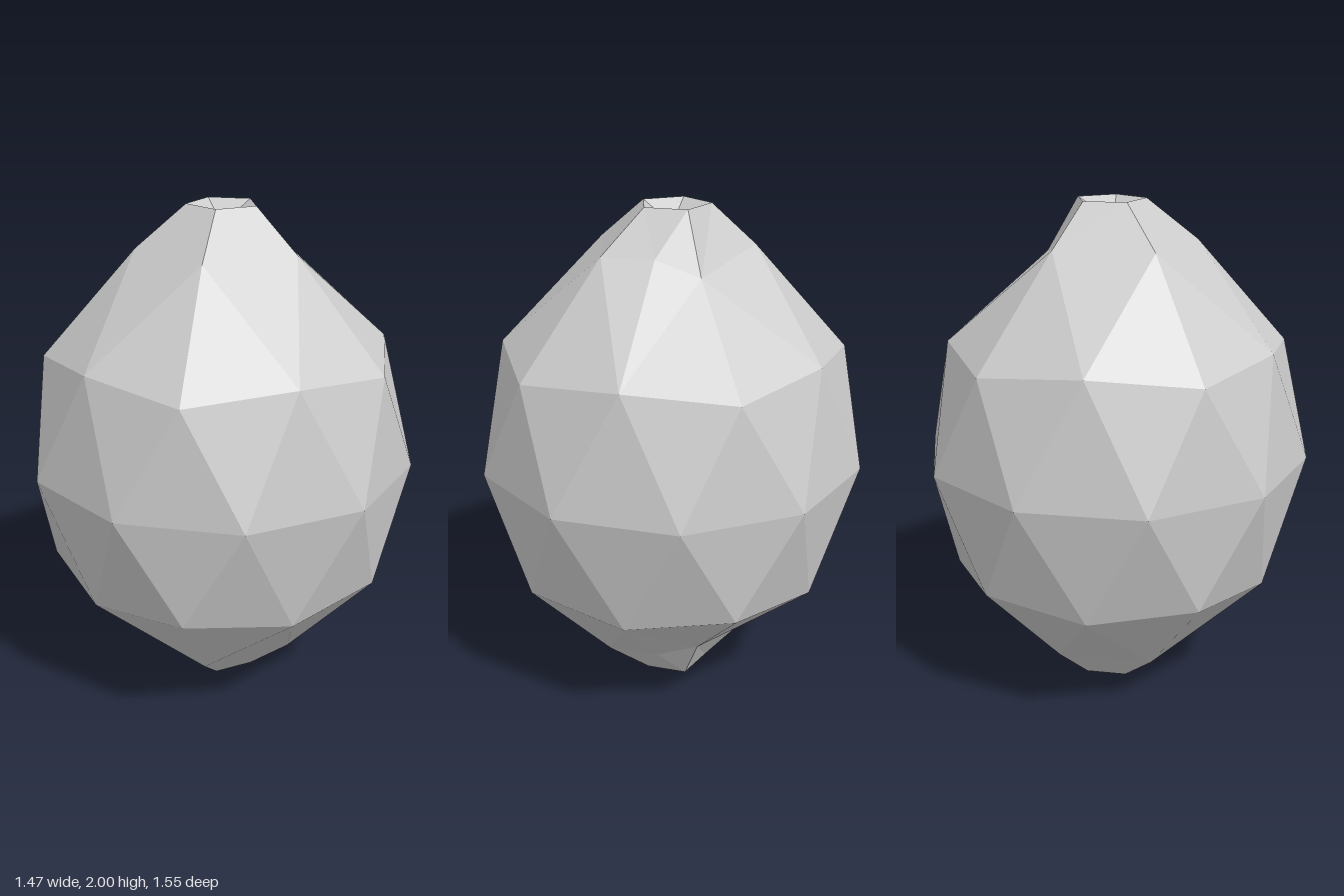
import * as THREE from 'three';

// Point on a ring round the y axis, angle in degrees from +x towards +z
const polar = (r, deg, y, z = 0) => {
  const a = THREE.MathUtils.degToRad(deg);
  return new THREE.Vector3(r * Math.cos(a), y, r * Math.sin(a) + z);
};
const ring = (n, fn) => Array.from({ length: n }, (_, i) => fn(i));

// Flat-faceted geometry from triangles; lower = mirrored below y = 1
function facets(tris, lower) {
  const pos = [];
  for (const [a, b, c] of tris) {
    for (const p of lower ? [a, c, b] : [a, b, c]) pos.push(p.x, lower ? 2 - p.y : p.y, p.z);
  }
  const g = new THREE.BufferGeometry();
  g.setAttribute('position', new THREE.Float32BufferAttribute(pos, 3));
  g.computeVertexNormals();
  return g;
}

export function createModel() {
  const group = new THREE.Group();
  group.name = 'lemon';
  const skin = new THREE.MeshStandardMaterial({ color: 0xcccccc });
  skin.name = 'grey skin';

  // Rings from the widest line up to the blunt tip
  const equator = ring(10, (i) => polar(0.773, 36 * i + 18, 1));
  const belt = ring(10, (i) => (i % 2 ? polar(0.658, 36 * i, 1.47) : polar(0.692, 36 * i, 1.43)));
  const neck = ring(5, (i) => polar(0.325, 72 * i, 1.84));
  neck[4].set(0.09, 1.78, -0.29); // sunken corner of the neck
  const fold = new THREE.Vector3(0.2, 1.84, -0.16);
  const tip = ring(5, (i) => polar(0.141, 72 * i, 2, -0.021));
  const pit = new THREE.Vector3(0, 1.92, -0.01);

  const body = [], nub = [], dimple = [];
  for (let j = 0; j < 10; j++) {
    body.push([belt[j], equator[j], equator[(j + 9) % 10]]);
    body.push([belt[j], belt[(j + 1) % 10], equator[j]]);
  }
  for (let k = 0; k < 5; k++) {
    const n = (k + 1) % 5;
    const a = neck[k], b = neck[n], ta = tip[k], tb = tip[n], m = belt[2 * k + 1];
    body.push([a, belt[2 * k], belt[(2 * k + 9) % 10]], [a, m, belt[2 * k]]);
    if (k === 4) {
      body.push([a, fold, m], [fold, b, m]);
      nub.push([ta, tb, fold], [tb, b, fold], [ta, fold, a]);
    } else {
      body.push([a, b, m]);
      nub.push([ta, tb, b], [ta, b, a]);
    }
    dimple.push([tb, ta, pit]);
  }

  // Each part appears above and mirrored below
  for (const [name, tris] of Object.entries({ Body: body, Nub: nub, Dimple: dimple })) {
    for (const lower of [false, true]) {
      const mesh = new THREE.Mesh(facets(tris, lower), skin);
      mesh.name = (lower ? 'lower' : 'upper') + name;
      group.add(mesh);
    }
  }
  return group;
}
